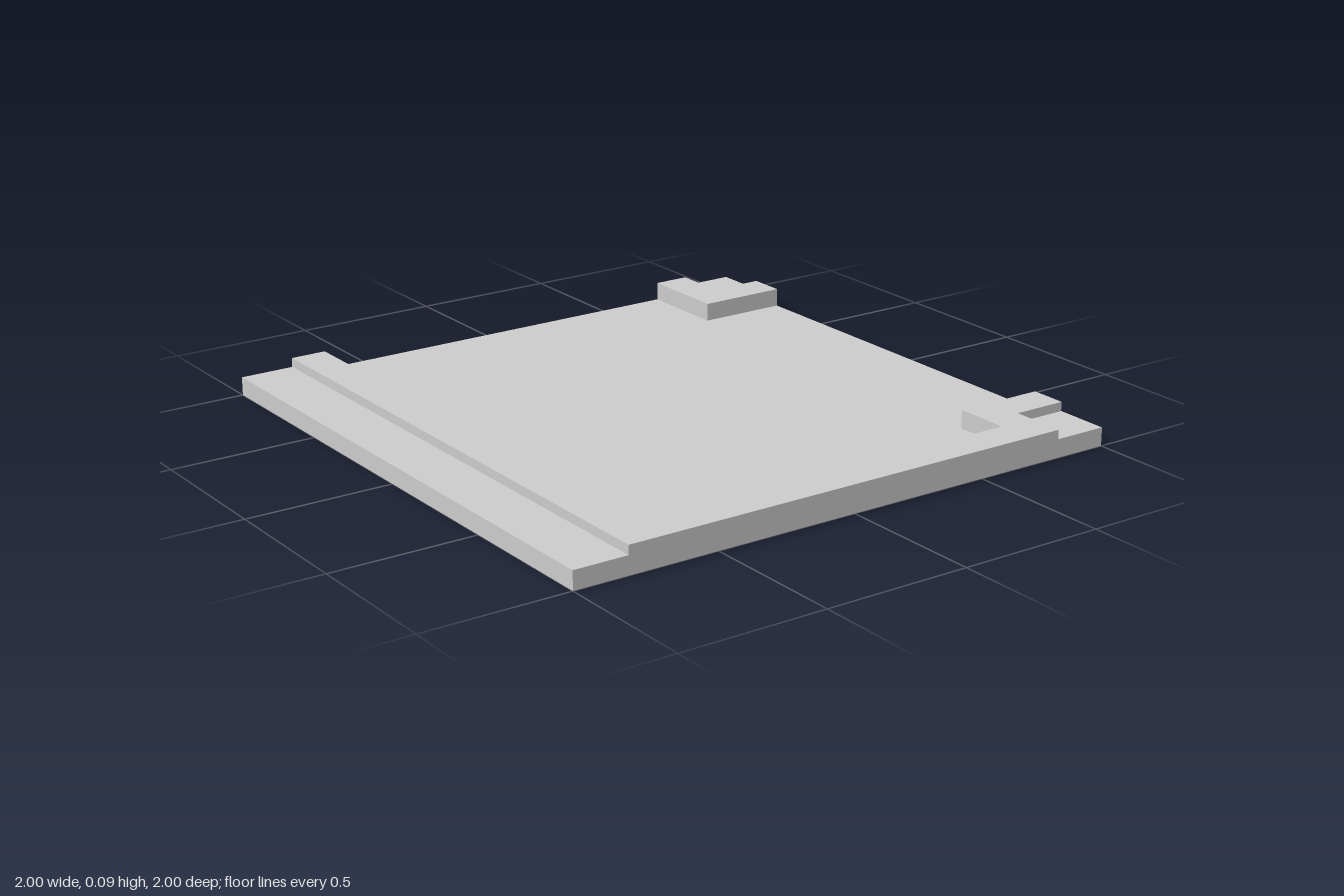
import * as THREE from 'three';

const U = 1 / 16; // plan grid unit
const H = 1 / 32; // height of one step

export function createModel() {
  const group = new THREE.Group();
  const material = new THREE.MeshStandardMaterial({ color: 0xcccccc, flatShading: true });

  // Upright slab one step high from an [x, z] outline, resting on the given level
  function addSlab(name, level, outline) {
    const shape = new THREE.Shape(outline.map(([x, z]) => new THREE.Vector2(x * U, -z * U)));
    const geometry = new THREE.ExtrudeGeometry(shape, { depth: H, bevelEnabled: false });
    geometry.rotateX(-Math.PI / 2);
    const mesh = new THREE.Mesh(geometry, material);
    mesh.name = name;
    mesh.position.y = level * H;
    group.add(mesh);
  }

  // Square floor plate
  addSlab('floor', 0, [[-16, -16], [16, -16], [16, 16], [-16, 16]]);

  // Inner edge shared by both steps of the side wall, front wall and front corner
  const innerEdge = [[-11, -16], [-11, 14], [11, 14], [11, 11], [16, 11]];

  // Lower step: side ledge, front wall and corner footings
  addSlab('lowerWall', 1, [[-16, -16], ...innerEdge, [16, 16], [-16, 16]]);
  addSlab('backCornerFooting', 1, [[11, -16], [16, -16], [16, -11], [11, -11]]);

  // Upper step: narrower side wall, and corners with a square notch
  addSlab('upperWall', 2, [[-13, -16], ...innerEdge, [16, 13], [13, 13], [13, 16], [-13, 16]]);
  addSlab('backCornerBracket', 2, [[11, -16], [13, -16], [13, -13], [16, -13], [16, -11], [11, -11]]);

  return group;
}
